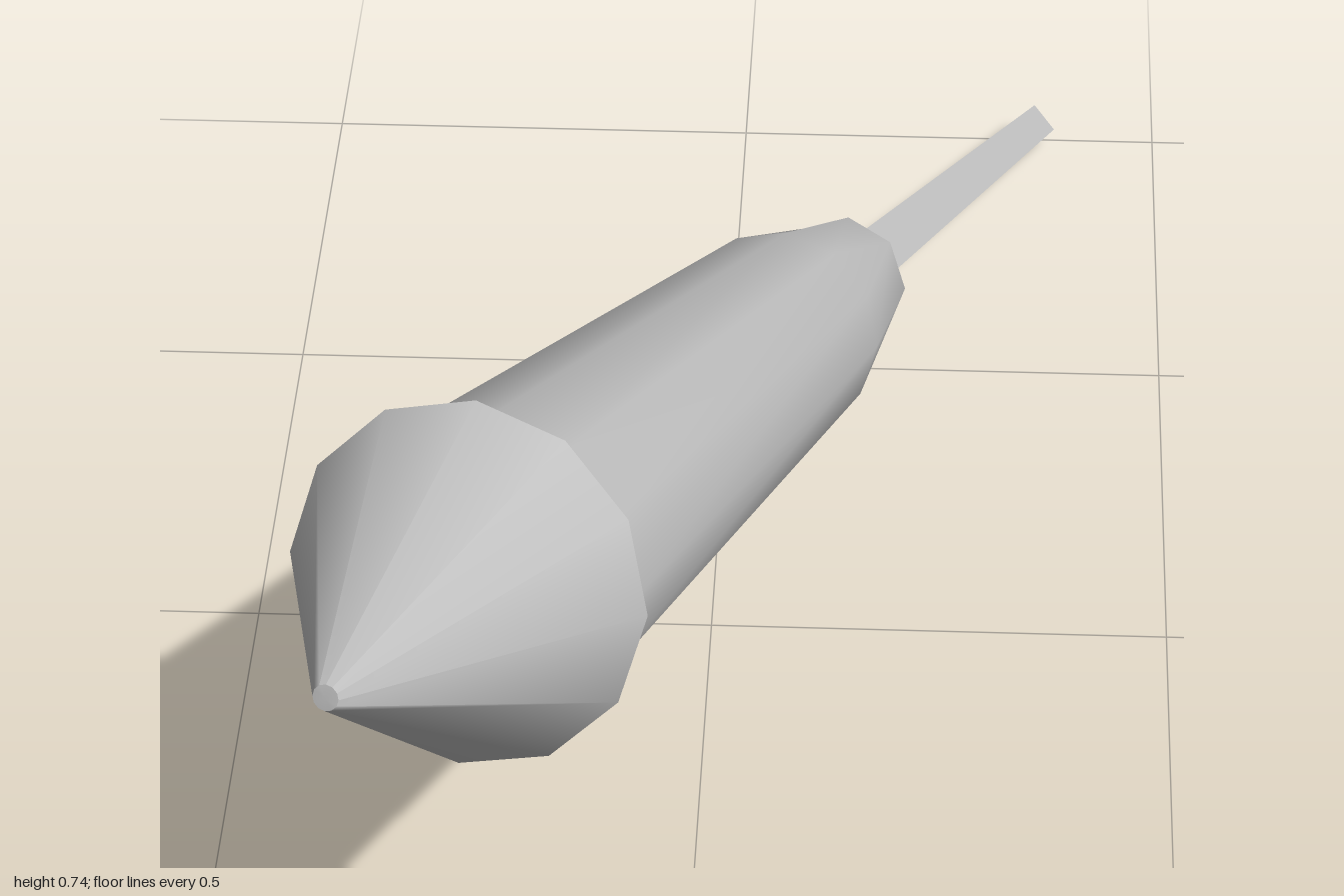
import * as THREE from 'three';
import { toCreasedNormals } from 'three/addons/utils/BufferGeometryUtils.js';

const grey = new THREE.MeshStandardMaterial({ color: 0xc0c0c0 });
grey.name = 'grey';

// Lathe around y; profile is [radius, height] pairs from bottom to top
function turned(profile, sides) {
  return new THREE.LatheGeometry(profile.map(([r, y]) => new THREE.Vector2(r, y)), sides);
}

function part(name, geometry, crease) {
  const mesh = new THREE.Mesh(toCreasedNormals(geometry, crease), grey);
  mesh.name = name;
  return mesh;
}

export function createModel() {
  const rocket = new THREE.Group();
  rocket.name = 'rocket';
  const tail = -1.125;

  // Nose cone with blunt tip and overhanging underside
  rocket.add(part('noseCone', turned(
    [[0, -0.008], [0.155, -0.008], [0.185, 0], [0.013, 0.342], [0, 0.343]], 12), 0.8));

  // Twelve-sided body; its tail ring is gathered into an octagon
  const body = turned([[0, tail], [0.072, tail], [0.112, -0.905], [0.16, 0]], 12);
  const p = body.attributes.position;
  for (let i = 0; i < p.count; i++) {
    if (p.getY(i) > tail + 0.001) continue;
    const r = Math.hypot(p.getX(i), p.getZ(i));
    const a = Math.round(Math.atan2(p.getX(i), p.getZ(i)) / (Math.PI / 4)) * Math.PI / 4;
    p.setXYZ(i, r * Math.sin(a), p.getY(i), r * Math.cos(a));
  }
  rocket.add(part('body', body, 1.0));

  // Tapered square guide stick
  rocket.add(part('stick', turned(
    [[0, -1.847], [0.027, -1.847], [0.042, tail], [0.043, -1.08], [0, -1.08]], 4), 0.4));

  // Lay the rocket along its slanted flight axis
  const forward = new THREE.Vector3(-0.302, 0.293, 0.907).normalize();
  const side = new THREE.Vector3(0.953, 0.047, 0.297).addScaledVector(
    forward, -forward.dot(new THREE.Vector3(0.953, 0.047, 0.297))).normalize();
  const up = new THREE.Vector3().crossVectors(forward, side);
  rocket.quaternion.setFromRotationMatrix(new THREE.Matrix4().makeBasis(up, forward, side));
  rocket.position.set(-0.205, 0.57, 0.685);

  const model = new THREE.Group();
  model.name = 'fireworkRocket';
  model.add(rocket);
  return model;
}
